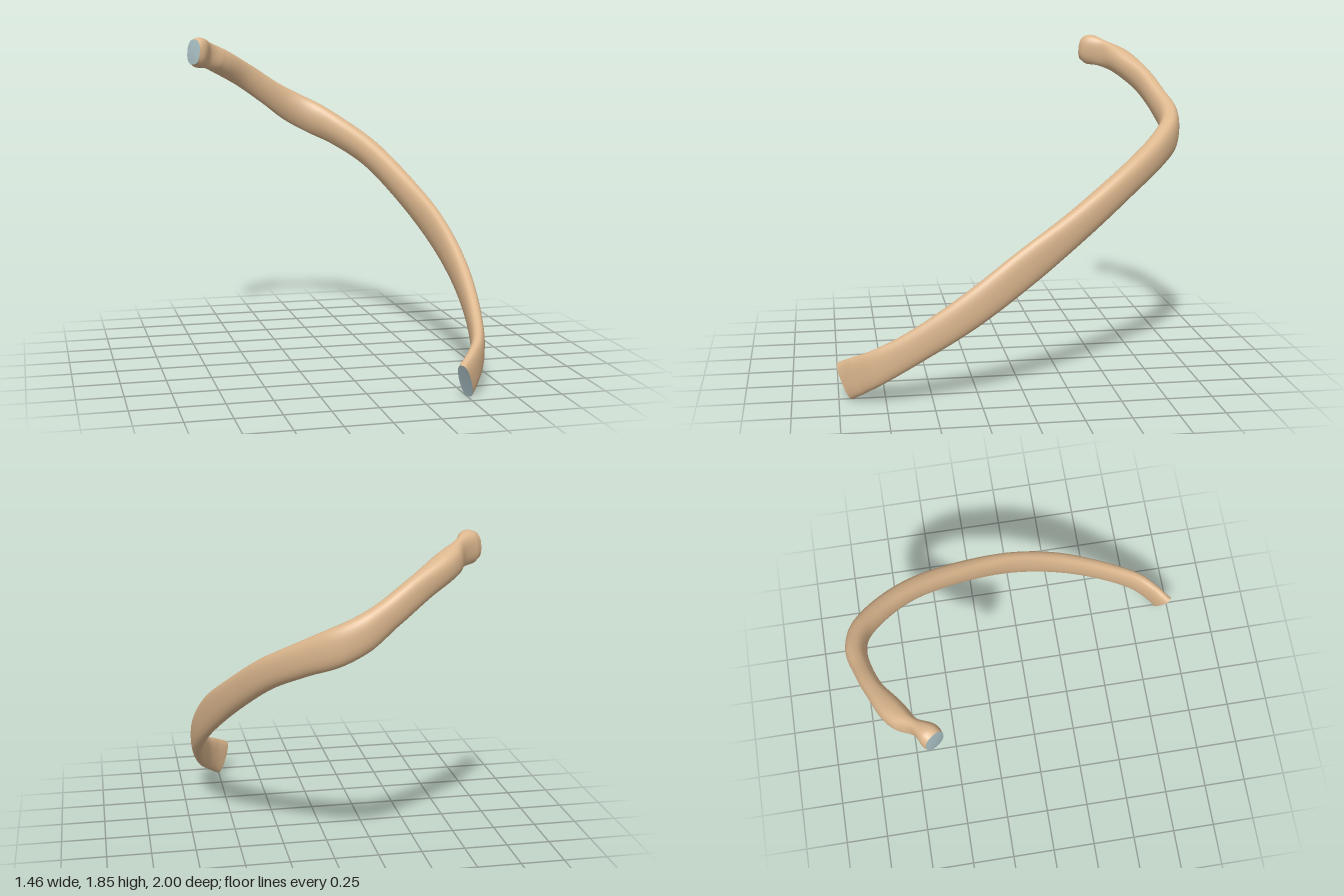
import * as THREE from 'three';

// Stations from the front end to the head: x, y, z, height, thickness
const STATIONS = [
  [0.475, 0.105, 0.96, 0.215, 0.07],
  [0.54, 0.155, 0.89, 0.205, 0.07],
  [0.598, 0.21, 0.80, 0.19, 0.075],
  [0.65, 0.33, 0.60, 0.175, 0.08],
  [0.67, 0.525, 0.30, 0.19, 0.088],
  [0.625, 0.735, 0.00, 0.20, 0.085],
  [0.525, 0.935, -0.30, 0.18, 0.1],
  [0.375, 1.14, -0.60, 0.17, 0.11],
  [0.225, 1.26, -0.79, 0.18, 0.115],
  [0.08, 1.345, -0.905, 0.20, 0.115],
  [-0.05, 1.415, -0.933, 0.19, 0.115],
  [-0.2, 1.51, -0.902, 0.16, 0.1],
  [-0.35, 1.61, -0.85, 0.155, 0.1],
  [-0.5, 1.695, -0.77, 0.155, 0.13],
  [-0.555, 1.722, -0.73, 0.155, 0.12],
  [-0.62, 1.75, -0.662, 0.16, 0.07],
  [-0.68, 1.768, -0.6, 0.18, 0.12],
  [-0.712, 1.772, -0.578, 0.15, 0.11],
];
const RINGS = 140, SIDES = 32;

const path = new THREE.CatmullRomCurve3(STATIONS.map(s => new THREE.Vector3(s[0], s[1], s[2])));
const sizes = new THREE.CatmullRomCurve3(STATIONS.map(s => new THREE.Vector3(s[3], s[4], 0)));
const power = v => Math.sign(v) * Math.abs(v) ** 0.8;

// Rounded flat section, thinner and grooved along the lower inner edge
function ring(t) {
  const c = path.getPoint(t), size = sizes.getPoint(t);
  const dir = path.getTangent(t);
  const up = new THREE.Vector3(0, 1, 0).addScaledVector(dir, -dir.y).normalize();
  const out = new THREE.Vector3().crossVectors(dir, up);
  const shaft = Math.sin(Math.PI * t);
  return Array.from({ length: SIDES }, (_, i) => {
    const a = (i / SIDES) * Math.PI * 2;
    const u = Math.cos(a), n = Math.sin(a);
    const low = Math.max(0, -u) * shaft;
    const thin = 1 - (n < 0 ? 0.45 : 0.1) * low;
    return c.clone()
      .addScaledVector(up, power(u) * size.x / 2)
      .addScaledVector(out, power(n) * thin * size.y / 2);
  });
}

function build(points, index) {
  const g = new THREE.BufferGeometry().setFromPoints(points);
  g.setIndex(index);
  g.computeVertexNormals();
  return g;
}

function shaftGeometry() {
  const points = [], index = [];
  for (let j = 0; j <= RINGS; j++) points.push(...ring(j / RINGS));
  for (let j = 0; j < RINGS; j++) {
    for (let i = 0; i < SIDES; i++) {
      const a = j * SIDES + i, b = j * SIDES + (i + 1) % SIDES;
      index.push(a, b, a + SIDES, b, b + SIDES, a + SIDES);
    }
  }
  return build(points, index);
}

// Fan closing one end; bulge pushes its middle along the path
function capGeometry(t, bulge) {
  const points = ring(t), index = [];
  points.push(path.getPoint(t).addScaledVector(path.getTangent(t), bulge));
  for (let i = 0; i < SIDES; i++) {
    const k = (i + 1) % SIDES;
    index.push(SIDES, ...(t === 0 ? [k, i] : [i, k]));
  }
  return build(points, index);
}

export function createModel() {
  const bone = new THREE.MeshStandardMaterial({ color: 0xdcb78e });
  const facet = new THREE.MeshStandardMaterial({ color: 0xa9bfc3 });
  const group = new THREE.Group();
  group.name = 'rib';
  const add = (name, geometry, material) => {
    const mesh = new THREE.Mesh(geometry, material);
    mesh.name = name;
    group.add(mesh);
  };
  add('ribShaft', shaftGeometry(), bone);
  add('frontEndFace', capGeometry(0, 0.004), facet);
  add('headFacet', capGeometry(1, 0.008), facet);
  return group;
}
